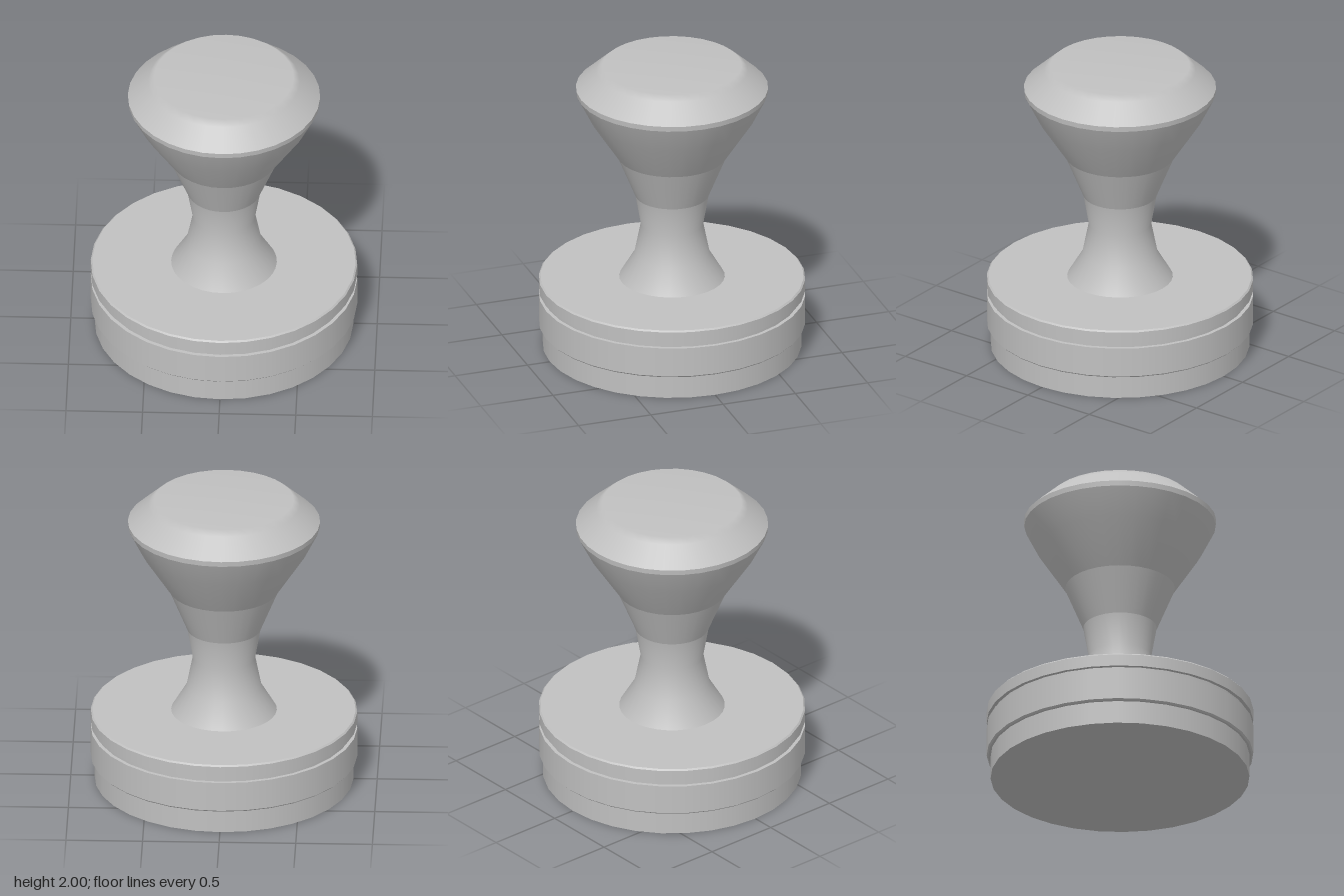
import * as THREE from 'three';

const SIDES = 32;

export function createModel() {
  const group = new THREE.Group();
  const metal = new THREE.MeshStandardMaterial({ color: 0xc0c0c0 });
  metal.name = 'grey metal';

  // Each profile runs bottom to top; separate runs keep hard edges between them
  const turned = (name, ...runs) => {
    const part = new THREE.Group();
    part.name = name;
    for (const run of runs) {
      const points = run.map(([r, y]) => new THREE.Vector2(r, y));
      const mesh = new THREE.Mesh(new THREE.LatheGeometry(points, SIDES), metal);
      mesh.name = name + 'Surface';
      part.add(mesh);
    }
    group.add(part);
  };

  // Closed disc with optional small bevels at its lower and upper rims
  const disc = (name, r, y0, y1, low = 0, high = 0) => {
    const runs = [
      [[0, y0], [r - low, y0]],
      [[r, y0 + low], [r, y1 - high]],
      [[r - high, y1], [0, y1]],
    ];
    if (low) runs.push([[r - low, y0], [r, y0 + low]]);
    if (high) runs.push([[r, y1 - high], [r - high, y1]]);
    turned(name, ...runs);
  };

  // Base stack
  disc('foot', 0.845, 0, 0.16);
  disc('baseBand', 0.87, 0.155, 0.365, 0.01);
  disc('groove', 0.845, 0.36, 0.405);
  disc('topPlate', 0.87, 0.4, 0.49, 0, 0.01);

  // Waisted handle
  turned('handle',
    [[0.345, 0.49], [0.246, 0.656], [0.204, 0.868], [0.24, 1.075]],
    [[0.24, 1.075], [0.357, 1.36]],
    [[0.357, 1.36], [0.537, 1.635], [0.625, 1.81]]);

  // Knob rim and rounded cap
  turned('knob',
    [[0.625, 1.81], [0.628, 1.845]],
    [[0.628, 1.845], [0.495, 1.965], [0.455, 2], [0, 2]]);

  return group;
}
